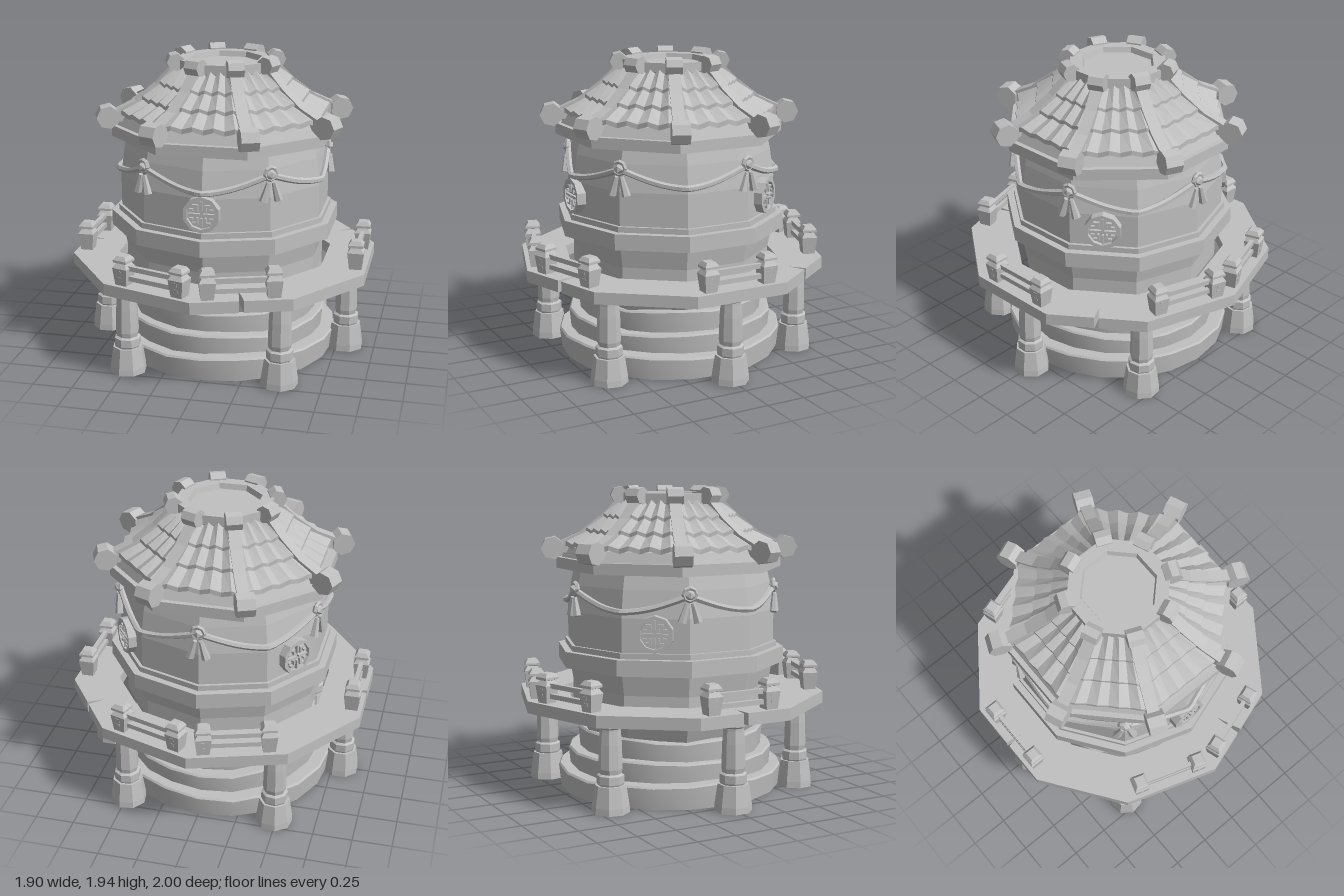
import * as THREE from 'three';
import { toCreasedNormals } from 'three/addons/utils/BufferGeometryUtils.js';

const stone = new THREE.MeshStandardMaterial({ color: 0xc0c0c0 });
stone.name = 'grey stone';
const DEG = Math.PI / 180;

// Facet a geometry
function flat(geo) {
  const g = geo.index ? geo.toNonIndexed() : geo;
  g.computeVertexNormals();
  return g;
}
function add(parent, name, geo, x = 0, y = 0, z = 0) {
  const m = new THREE.Mesh(geo, stone);
  m.name = name;
  m.position.set(x, y, z);
  parent.add(m);
  return m;
}
// Group turned so its local +z points outwards at the angle, measured from the front
function spoke(parent, name, deg) {
  const g = new THREE.Group();
  g.name = name;
  g.rotation.y = deg * DEG;
  parent.add(g);
  return g;
}
function lathe(pts, sides, start = 0) {
  return new THREE.LatheGeometry(pts.map(([r, y]) => new THREE.Vector2(r, y)), sides, start);
}
// Distance from the axis to a decagon of corner radius R
function decagonAt(R, deg) {
  const a = ((deg % 36) + 36) % 36 - 18;
  return R * Math.cos(18 * DEG) / Math.cos(a * DEG);
}

// Rough stone drum with a worn rim
function drum(r0, r1, y0, y1, phase) {
  const g = lathe([[0, y0], [r0, y0], [r1, y1 - 0.012], [r1 - 0.01, y1], [0, y1]], 20);
  const p = g.attributes.position;
  for (let i = 0; i < p.count; i++) {
    const x = p.getX(i), y = p.getY(i), z = p.getZ(i);
    const a = Math.atan2(x, z);
    const k = 1 + 0.012 * Math.sin(2 * a + phase);
    const lift = y > y0 + 0.01 && Math.hypot(x, z) > 0.1
      ? 0.008 * Math.sin(3 * a + phase) + 0.006 * Math.sin(7 * a) : 0;
    p.setXYZ(i, x * k, y + lift, z * k);
  }
  return toCreasedNormals(g, 0.6);
}

// Decagonal walkway with a central opening and cracked edges
function deckGeometry() {
  const s = new THREE.Shape(), hole = new THREE.Path();
  const pt = (r, deg) => [r * Math.sin(deg * DEG), -r * Math.cos(deg * DEG)];
  const crackTip = { 0: 0.78, 3: 0.84, 7: 0.83 };
  for (let i = 0; i < 10; i++) {
    if (i) s.lineTo(...pt(1, 36 * i)); else s.moveTo(...pt(1, 0));
    if (crackTip[i]) {
      const m = 36 * i + 18;
      s.lineTo(...pt(0.9512, m - 0.9));
      s.lineTo(...pt(crackTip[i], m));
      s.lineTo(...pt(0.9512, m + 0.9));
    }
    if (i) hole.lineTo(...pt(0.7, 36 * i)); else hole.moveTo(...pt(0.7, 0));
  }
  s.closePath();
  hole.closePath();
  s.holes.push(hole);
  const g = new THREE.ExtrudeGeometry(s, { depth: 0.075, bevelEnabled: false });
  return g.rotateX(-Math.PI / 2);
}

// One course of folded tiles on a roof face, from eave side (a0,y0) to (a1,y1)
function tileRow(a0, y0, a1, y1) {
  const N = 8, pos = [], idx = [], t = Math.tan(22.5 * DEG);
  const stations = [[a0, y0 - 0.03], [a0, y0], [a1, y1]];
  for (const [a, y] of stations) {
    for (let j = 0; j <= N; j++) {
      const h = j % 2 ? 0.02 : 0;
      pos.push((2 * j / N - 1) * a * t, y + h, a + h * 0.5);
    }
  }
  for (let i = 0; i < 2; i++) {
    for (let j = 0; j < N; j++) {
      const a = i * (N + 1) + j, b = a + N + 1;
      idx.push(a, a + 1, b, a + 1, b + 1, b);
    }
  }
  const g = new THREE.BufferGeometry();
  g.setAttribute('position', new THREE.Float32BufferAttribute(pos, 3));
  g.setIndex(idx);
  return flat(g);
}

// Curved ridge bar, drawn in the radial plane
function ridgeGeometry() {
  const s = new THREE.Shape([
    [0.72, 1.52], [0.72, 1.585], [0.58, 1.65], [0.45, 1.75], [0.32, 1.88],
    [0.28, 1.83], [0.41, 1.69], [0.55, 1.58], [0.62, 1.52],
  ].map(([x, y]) => new THREE.Vector2(x, y)));
  const g = new THREE.ExtrudeGeometry(s, { depth: 0.075, bevelEnabled: false });
  return g.translate(0, 0, -0.0375).rotateY(-Math.PI / 2);
}

export function createModel() {
  const model = new THREE.Group();
  model.name = 'stone pavilion';

  // Stepped base
  add(model, 'lowerBase', drum(0.72, 0.735, 0, 0.145, 0.5));
  add(model, 'middleBase', drum(0.645, 0.66, 0.1, 0.265, 2));
  add(model, 'upperBase', drum(0.59, 0.605, 0.22, 0.395, 4));

  // Ten-sided body with its projecting belt
  add(model, 'body', flat(lathe([
    [0, 0.36], [0.57, 0.36], [0.59, 0.41], [0.645, 0.55], [0.645, 0.68], [0.67, 0.815],
    [0.74, 0.815], [0.74, 0.915], [0.695, 0.915], [0.695, 0.95], [0.675, 0.95],
    [0.675, 1.16], [0.65, 1.33], [0.625, 1.44], [0, 1.44],
  ], 10)));

  // Walkway
  add(model, 'walkway', deckGeometry(), 0, 0.55, 0);

  // Pillars
  const pillarGeo = flat(lathe([
    [0, 0], [0.117, 0], [0.115, 0.04], [0.096, 0.17], [0.08, 0.17], [0.084, 0.18], [0.084, 0.23],
    [0.068, 0.24], [0.074, 0.27], [0.07, 0.42], [0.064, 0.5], [0.064, 0.515],
    [0.077, 0.525], [0.077, 0.56],
  ], 8, Math.PI / 8));
  for (const deg of [36, 90, 144, 216, 270, 324]) {
    add(spoke(model, 'pillarSpoke', deg), 'pillar', pillarGeo, 0, 0, deg % 90 ? 0.825 : 0.81);
  }

  // Railings: a pair of lantern posts and two rails on alternate sides
  const postGeo = flat(lathe([
    [0, 0.62], [0.038, 0.62], [0.051, 0.735], [0.038, 0.755], [0.032, 0.765],
    [0.047, 0.77], [0.047, 0.785], [0.03, 0.81], [0, 0.81],
  ].map(([r, y]) => [r * Math.SQRT2, y]), 4, Math.PI / 4));
  const panelGeo = new THREE.BoxGeometry(0.025, 0.02, 0.006);
  for (const deg of [18, 90, 162, 198, 270, 342]) {
    const rail = spoke(model, 'railing', deg);
    for (const side of [-1, 1]) {
      add(rail, 'railPost', postGeo, side * 0.2, 0, 0.885);
      for (const y of [0.67, 0.71]) {
        add(rail, 'postPanel', panelGeo, side * 0.2, y, 0.928 + (y - 0.67) * 0.11).rotation.x = 0.11;
      }
    }
    for (const y of [0.67, 0.735]) {
      add(rail, 'rail', new THREE.BoxGeometry(0.34, 0.03, 0.028), 0, y, 0.885);
    }
  }

  // Round plaques with a plain fretwork
  const ringGeo = flat(lathe([[0.115, -0.05], [0.115, 0.045], [0.092, 0.045], [0.092, 0]], 10)).rotateX(Math.PI / 2);
  const backGeo = flat(new THREE.CylinderGeometry(0.1, 0.1, 0.07, 10)).rotateX(Math.PI / 2);
  for (const [deg, r] of [[0, 0.655], [126, 0.65], [234, 0.65]]) {
    const plaque = spoke(model, 'plaque', deg);
    add(plaque, 'plaqueRim', ringGeo, 0, 1.07, r);
    add(plaque, 'plaqueBack', backGeo, 0, 1.07, r - 0.015);
    const bar = (x, y, w, h) => add(plaque, 'fretwork', new THREE.BoxGeometry(w, h, 0.02), x, 1.07 + y, r + 0.03);
    for (const sx of [-1, 1]) {
      bar(sx * 0.045, 0, 0.07, 0.012);
      bar(0, sx * 0.055, 0.012, 0.06);
      for (const sy of [-1, 1]) {
        bar(sx * 0.038, sy * 0.055, 0.036, 0.012);
        bar(sx * 0.026, sy * 0.038, 0.012, 0.035);
        bar(sx * 0.062, sy * 0.028, 0.022, 0.012);
      }
    }
  }

  // Garland ropes, knots and tassels
  const tasselGeo = flat(new THREE.CylinderGeometry(0.014, 0.028, 0.12, 6));
  const knotGeo = flat(new THREE.IcosahedronGeometry(0.036, 0));
  const loopGeo = flat(new THREE.TorusGeometry(0.037, 0.015, 5, 8));
  for (let k = 0; k < 5; k++) {
    const from = 36 + 72 * k, pts = [];
    for (let i = 0; i <= 12; i++) {
      const t = i / 12, deg = from + 72 * t, sag = Math.sin(Math.PI * t);
      const r = decagonAt(0.655 + 0.018 * sag, deg) + 0.014;
      pts.push(new THREE.Vector3(r * Math.sin(deg * DEG), 1.3 - 0.1 * sag, r * Math.cos(deg * DEG)));
    }
    add(model, 'garland', flat(new THREE.TubeGeometry(new THREE.CatmullRomCurve3(pts), 24, 0.02, 6)));
    const knot = spoke(model, 'garlandKnot', from);
    add(knot, 'knot', knotGeo, 0, 1.305, 0.672);
    add(knot, 'knotLoop', loopGeo, 0, 1.31, 0.67);
    for (const side of [-1, 1]) {
      add(knot, 'tassel', tasselGeo, side * 0.034, 1.2, 0.68).rotation.z = side * 0.28;
    }
  }

  // Eight-sided eave, roof core and crowning ring
  add(model, 'eave', flat(lathe([[0, 1.42], [0.73, 1.42], [0.73, 1.49], [0, 1.49]], 8, Math.PI / 8)));
  add(model, 'roofCore', flat(lathe([
    [0.7, 1.48], [0.665, 1.555], [0.535, 1.625], [0.42, 1.715], [0.3, 1.83], [0, 1.83],
  ], 8, Math.PI / 8)));
  add(model, 'crownRing', flat(lathe([
    [0.28, 1.81], [0.32, 1.84], [0.32, 1.9], [0.235, 1.9], [0.225, 1.865], [0, 1.865],
  ], 8, Math.PI / 8)));

  // Tiles on each face, ridge bars and their end blocks
  const rows = [tileRow(0.63, 1.575, 0.49, 1.645), tileRow(0.505, 1.66, 0.385, 1.74), tileRow(0.4, 1.75, 0.285, 1.84)];
  const ridgeGeo = ridgeGeometry();
  const endGeo = flat(new THREE.CylinderGeometry(0.074, 0.074, 0.11, 7)).rotateZ(Math.PI / 2);
  const topGeo = flat(new THREE.CylinderGeometry(0.056, 0.056, 0.1, 7)).rotateZ(Math.PI / 2);
  for (let k = 0; k < 8; k++) {
    const face = spoke(model, 'roofFace', 45 * k);
    rows.forEach((g) => add(face, 'tileRow', g));
    const ridge = spoke(model, 'ridge', 45 * k + 22.5);
    add(ridge, 'ridgeBar', ridgeGeo);
    add(ridge, 'ridgeEnd', endGeo, 0, 1.55, 0.755);
    add(ridge, 'ridgeTop', topGeo, 0, 1.885, 0.325);
  }
  return model;
}
